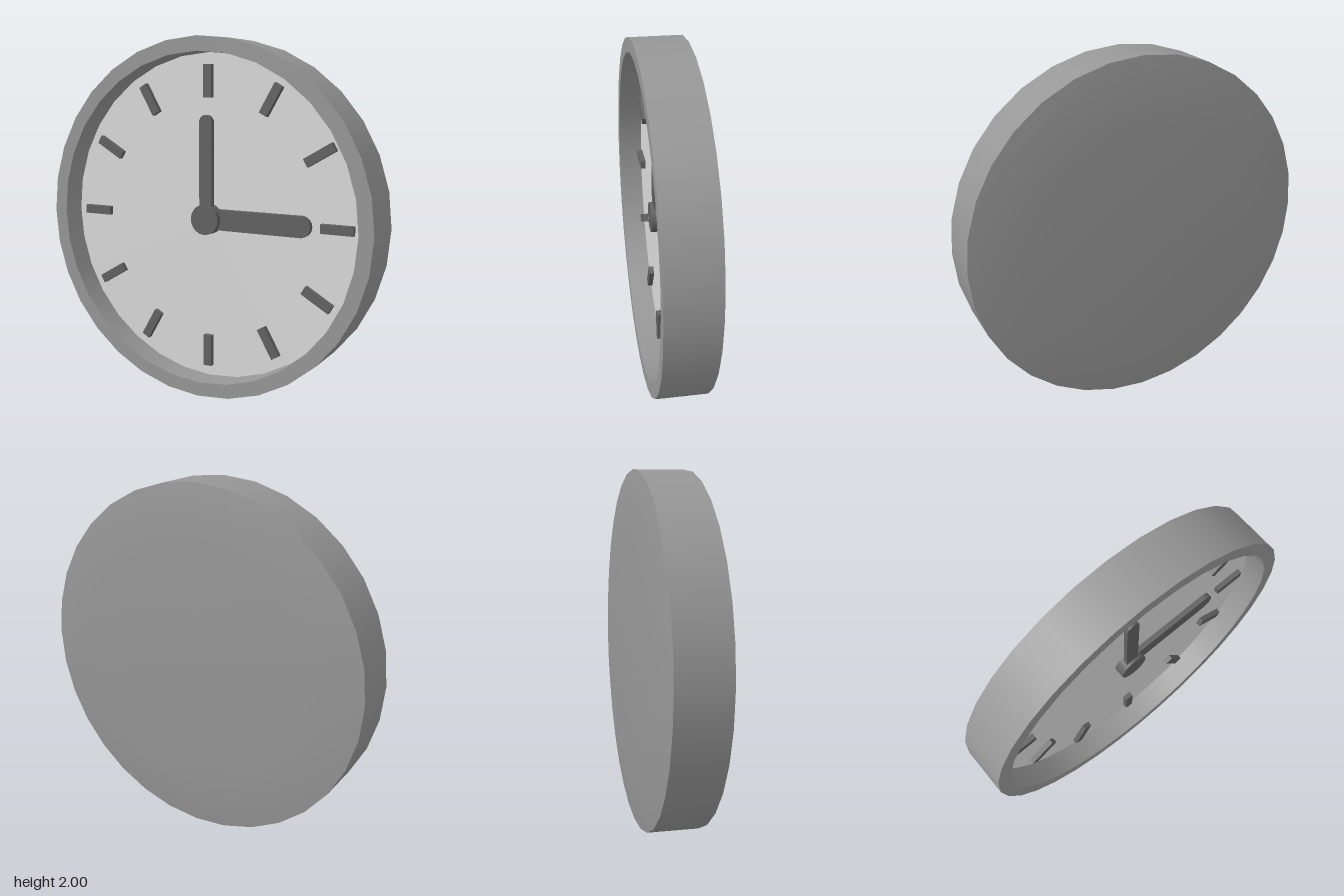
import * as THREE from 'three';

const frameGrey = new THREE.MeshStandardMaterial({ color: 0x979797 });
frameGrey.name = 'frame grey';
const dialGrey = new THREE.MeshStandardMaterial({ color: 0xdadada });
dialGrey.name = 'dial light grey';
const handGrey = new THREE.MeshStandardMaterial({ color: 0x626262 });
handGrey.name = 'marker dark grey';

const FACE_Z = 0.025;

function addMesh(parent, name, geometry, material) {
  const mesh = new THREE.Mesh(geometry, material);
  mesh.name = name;
  parent.add(mesh);
  return mesh;
}

// Surface of revolution about z, from [radius, z] points
function turned(points) {
  const profile = points.map(([r, z]) => new THREE.Vector2(r, z));
  return new THREE.LatheGeometry(profile, 32).rotateX(Math.PI / 2);
}

// Flat bar pointing up from the centre with a round tip
function handGeometry(length, halfWidth, depth) {
  const shape = new THREE.Shape();
  shape.moveTo(-halfWidth, 0);
  shape.lineTo(halfWidth, 0);
  shape.lineTo(halfWidth, length - halfWidth);
  shape.absarc(0, length - halfWidth, halfWidth, 0, Math.PI, false);
  shape.closePath();
  return new THREE.ExtrudeGeometry(shape, { depth, bevelEnabled: false, curveSegments: 10 });
}

export function createModel() {
  const model = new THREE.Group();
  model.name = 'wallClock';
  const clock = new THREE.Group();
  clock.name = 'clock';
  clock.position.y = 1;
  model.add(clock);

  // Case: separate lathes keep the edges between them sharp
  addMesh(clock, 'back', turned([[0, -0.165], [0.69, -0.165], [1, -0.12]]), frameGrey);
  addMesh(clock, 'outerWall', turned([[1, -0.12], [1, 0.165]]), frameGrey);
  addMesh(clock, 'rim', turned([[1, 0.165], [0.92, 0.165]]), frameGrey);
  addMesh(clock, 'innerWall', turned([[0.92, 0.165], [0.92, FACE_Z]]), frameGrey);
  addMesh(clock, 'dial', turned([[0.92, FACE_Z], [0, FACE_Z]]), dialGrey);

  // Twelve hour markers
  const markerGeometry = new THREE.BoxGeometry(0.05, 0.18, 0.04).translate(0, 0.765, 0.035);
  for (let i = 0; i < 12; i++) {
    addMesh(clock, 'hourMarker', markerGeometry, handGrey).rotation.z = (-i * Math.PI) / 6;
  }

  // Hands and hub
  const minuteHand = addMesh(clock, 'minuteHand', handGeometry(0.58, 0.04, 0.025), handGrey);
  minuteHand.position.z = 0.048;
  const hourHand = addMesh(clock, 'hourHand', handGeometry(0.62, 0.058, 0.035), handGrey);
  hourHand.position.z = 0.02;
  hourHand.rotation.z = -Math.PI / 2;
  const hubGeometry = new THREE.CylinderGeometry(0.085, 0.085, 0.07, 32).rotateX(Math.PI / 2);
  addMesh(clock, 'hub', hubGeometry, handGrey).position.z = 0.055;

  return model;
}
